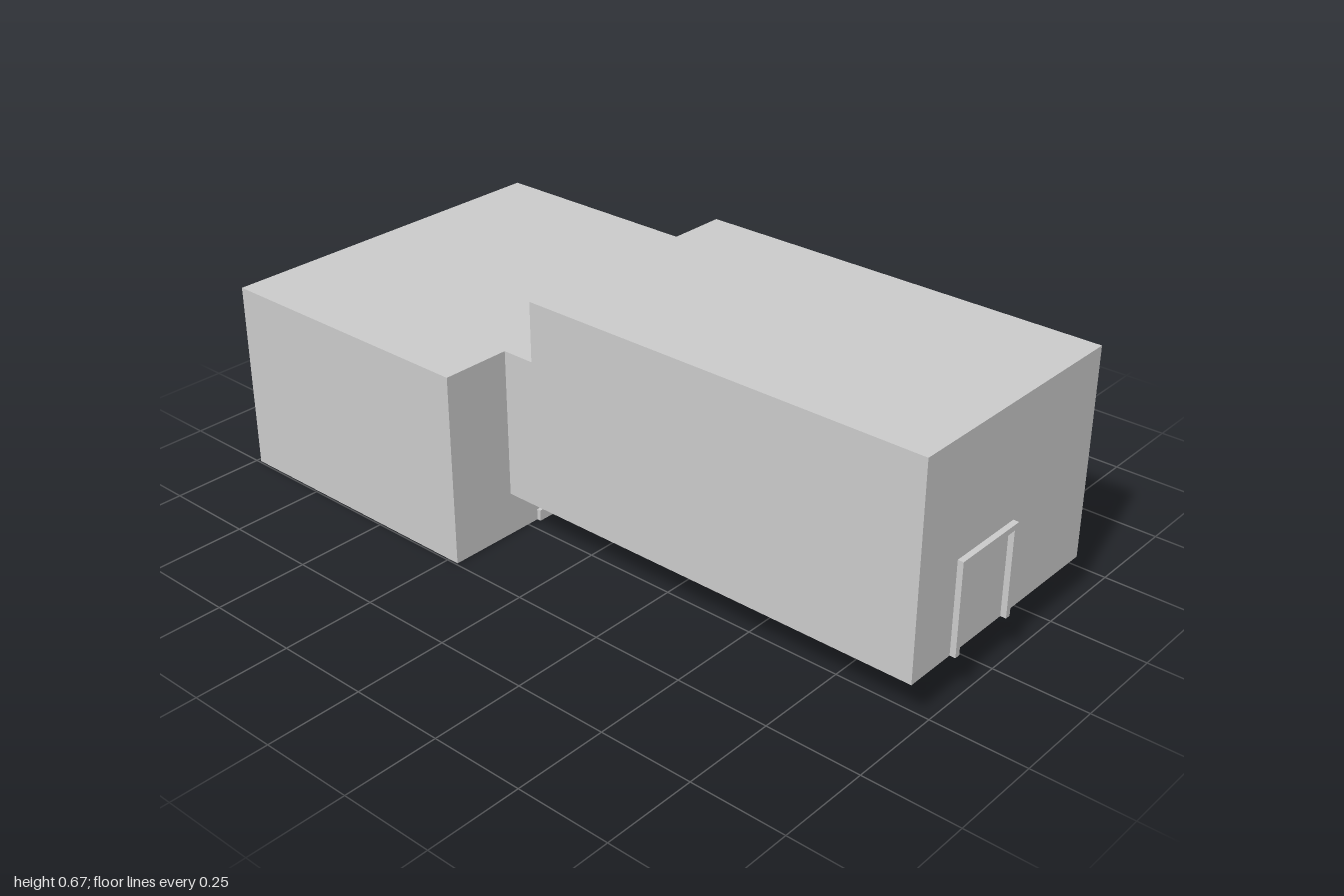
import * as THREE from 'three';

const material = new THREE.MeshStandardMaterial({ color: 0xcccccc, flatShading: true });

// Box given by its lower and upper limits on each axis
function block(name, [x0, x1], [y0, y1], [z0, z1]) {
  const mesh = new THREE.Mesh(new THREE.BoxGeometry(x1 - x0, y1 - y0, z1 - z0), material);
  mesh.position.set((x0 + x1) / 2, (y0 + y1) / 2, (z0 + z1) / 2);
  mesh.name = name;
  return mesh;
}

// Door surround: two jambs and a lintel on an end wall
function doorFrame(name, x, [y0, y1], [z0, z1], t = 0.015) {
  const frame = new THREE.Group();
  frame.name = name;
  frame.add(
    block('jamb', x, [y0, y1 - t], [z0, z0 + t]),
    block('jamb', x, [y0, y1 - t], [z1 - t, z1]),
    block('lintel', x, [y1 - t, y1], [z0, z1]),
  );
  return frame;
}

// Window of four by four panes, with a heavier rail and stile in the middle
function paneWindow(name, [x0, x1], [y0, y1], wallZ) {
  const win = new THREE.Group();
  win.name = name;
  const w = x1 - x0, h = y1 - y0;
  for (let i = 0; i <= 4; i++) {
    const heavy = i % 2 === 0;
    const t = heavy ? 0.014 : 0.008;
    const z = [wallZ - (heavy ? 0.02 : 0.015), wallZ + 0.005];
    const x = x0 + t / 2 + (w - t) * i / 4;
    const y = y0 + t / 2 + (h - t) * i / 4;
    win.add(
      block('uprightBar', [x - t / 2, x + t / 2], [y0, y1], z),
      block('crossBar', [x0, x1], [y - t / 2, y + t / 2], z),
    );
  }
  return win;
}

export function createModel() {
  const model = new THREE.Group();
  model.name = 'building';

  // Wide low room standing on the ground
  model.add(block('lowRoom', [-0.988, -0.22], [0, 0.51], [-0.497, 0.495]));

  // Raised hall with a lower link where it meets the low room
  const profile = new THREE.Shape([
    [-0.22, 0.115], [0.985, 0.115], [0.985, 0.667],
    [-0.13, 0.667], [-0.13, 0.51], [-0.22, 0.51],
  ].map(([x, y]) => new THREE.Vector2(x, y)));
  const hall = new THREE.Mesh(
    new THREE.ExtrudeGeometry(profile, { depth: 0.677, bevelEnabled: false }), material);
  hall.position.z = -0.37;
  hall.name = 'raisedHall';
  model.add(hall);

  // Steps showing through the wall below the hall
  [0.217, 0.183, 0.148].forEach((half, i) => {
    model.add(block('step', [-0.23, -0.209], [i * 0.03, (i + 1) * 0.03], [-half, half]));
  });

  // Door surrounds on both end walls
  model.add(doorFrame('hallDoorFrame', [0.98, 1], [0.115, 0.36], [-0.054, 0.163]));
  model.add(doorFrame('lowRoomDoorFrame', [-1, -0.98], [0, 0.245], [0.287, 0.432]));

  // Windows on the back wall
  for (const x of [0.12, 0.592]) {
    model.add(paneWindow('backWindow', [x, x + 0.21], [0.238, 0.598], -0.37));
  }
  return model;
}
